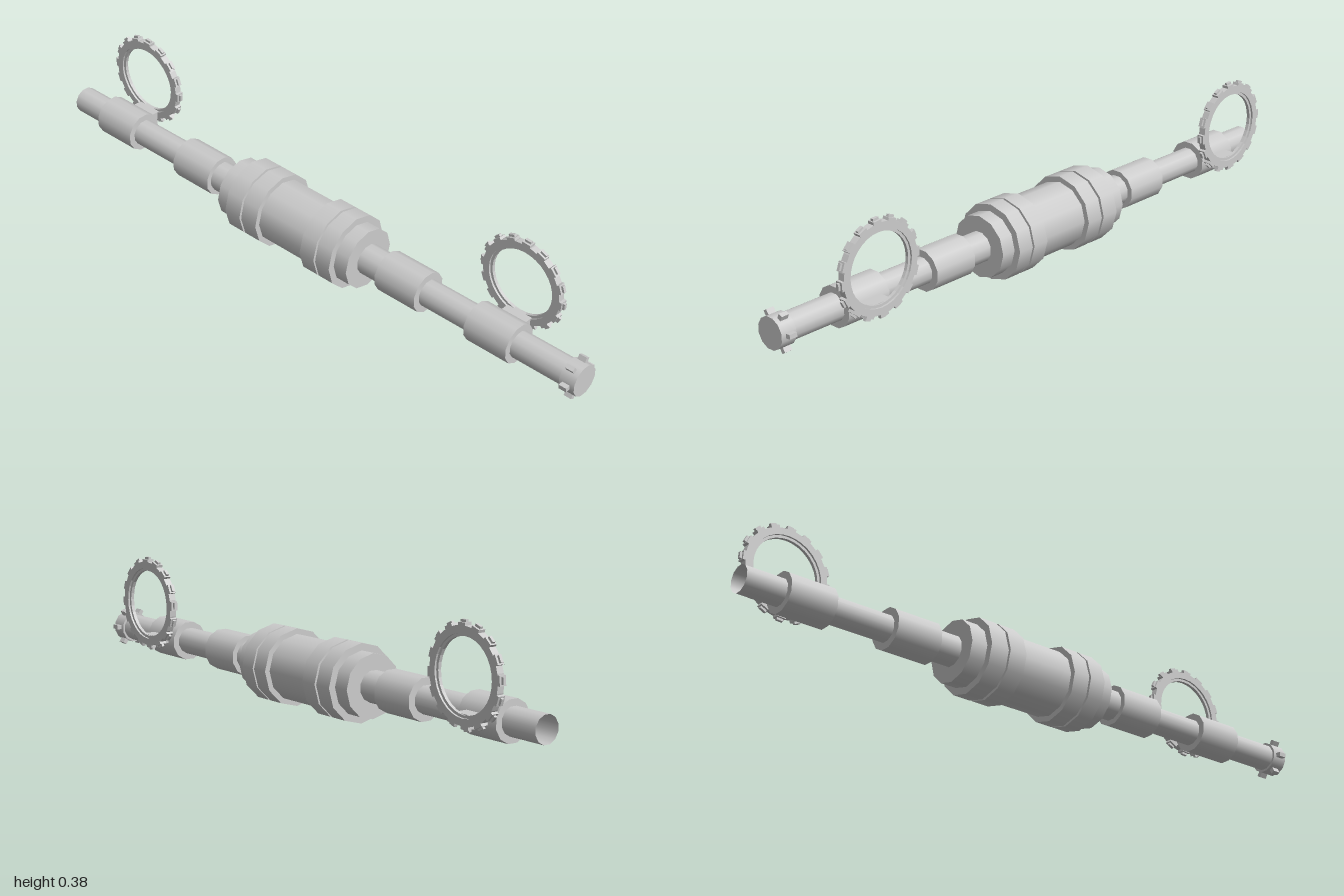
import * as THREE from 'three';

const AXIS_Y = 0.118;
const mat = new THREE.MeshStandardMaterial({ color: 0xcccccc, side: THREE.DoubleSide });

export function createModel() {
  const model = new THREE.Group();

  const add = (parent, name, geometry) => {
    const mesh = new THREE.Mesh(geometry, mat);
    mesh.name = name;
    parent.add(mesh);
    return mesh;
  };

  // Cylinder lying along z between two depths
  const barrel = (name, radius, z0, z1, { sides = 12, turn = 0, open = false } = {}) => {
    const g = new THREE.CylinderGeometry(radius, radius, z1 - z0, sides, 1, open, turn);
    g.rotateX(Math.PI / 2);
    add(model, name, g).position.set(0, AXIS_Y, (z0 + z1) / 2);
  };
  const flatTop = { turn: Math.PI / 12 };

  // Central rod, open at the back
  barrel('rod', 0.041, -1, 0.97, { ...flatTop, open: true });

  // Core housing with stepped flanges
  barrel('coreDrum', 0.1, -0.13, 0.07);
  barrel('coreInner', 0.108, -0.24, -0.12);
  barrel('coreInner', 0.108, 0.06, 0.17);
  for (const [z0, z1] of [[0.122, 0.175], [0.06, 0.115], [-0.178, -0.12], [-0.245, -0.186]]) {
    barrel('flange', 0.1165, z0, z1);
  }
  barrel('frontEndRing', 0.095, 0.17, 0.222);
  barrel('backEndRing', 0.095, -0.298, -0.24);

  // Necks, grip sleeves and gear clamps
  barrel('frontNeck', 0.047, 0.22, 0.31, flatTop);
  barrel('backNeck', 0.047, -0.39, -0.29, flatTop);
  barrel('frontSleeve', 0.063, 0.302, 0.45, flatTop);
  barrel('backSleeve', 0.063, -0.527, -0.378, flatTop);

  // Closed front cap with radial studs
  barrel('frontCap', 0.048, 0.95, 1, flatTop);
  for (let i = 0; i < 6; i++) {
    const a = (i / 6) * Math.PI * 2 + 0.06;
    const stud = add(model, 'capStud', new THREE.BoxGeometry(0.022, 0.013, 0.025));
    stud.position.set(Math.cos(a) * 0.051, AXIS_Y + Math.sin(a) * 0.051, 0.973);
    stud.rotation.z = a;
  }

  // Toothed rings standing beside the rod, each on a clamp
  for (const z of [0.703, -0.8]) {
    barrel('gearClamp', 0.061, z - 0.074, z + 0.074, flatTop);
    const bracket = add(model, 'gearBracket', new THREE.BoxGeometry(0.06, 0.024, 0.085));
    bracket.position.set(0.07, AXIS_Y + 0.006, z);
    model.add(createGear(z, add));
  }
  return model;
}

function createGear(z, add) {
  const gear = new THREE.Group();
  gear.name = 'gear';

  // Ring with a chamfered inner lip
  const profile = [
    [0.104, -0.005], [0.112, -0.005], [0.112, -0.011], [0.133, -0.011],
    [0.133, 0.011], [0.112, 0.011], [0.112, 0.005], [0.104, 0.005], [0.104, -0.005],
  ].map(([r, h]) => new THREE.Vector2(r, h));
  const ring = new THREE.LatheGeometry(profile, 32).toNonIndexed();
  ring.rotateZ(-Math.PI / 2);
  ring.computeVertexNormals();
  add(gear, 'gearRing', ring);

  // Teeth: a wide root block with a narrower tip
  const teeth = 16;
  for (let i = 0; i < teeth; i++) {
    const a = (i / teeth) * Math.PI * 2 + 0.06;
    for (const [name, w, r0, r1, t] of [
      ['toothRoot', 0.022, 0.128, 0.14, 0.028],
      ['toothTip', 0.009, 0.135, 0.147, 0.02],
    ]) {
      const tooth = add(gear, name, new THREE.BoxGeometry(w, r1 - r0, t));
      const r = (r0 + r1) / 2;
      tooth.position.set(0, Math.cos(a) * r, Math.sin(a) * r);
      tooth.rotation.x = a;
    }
  }
  gear.position.set(0.099, 0.238, z);
  return gear;
}
